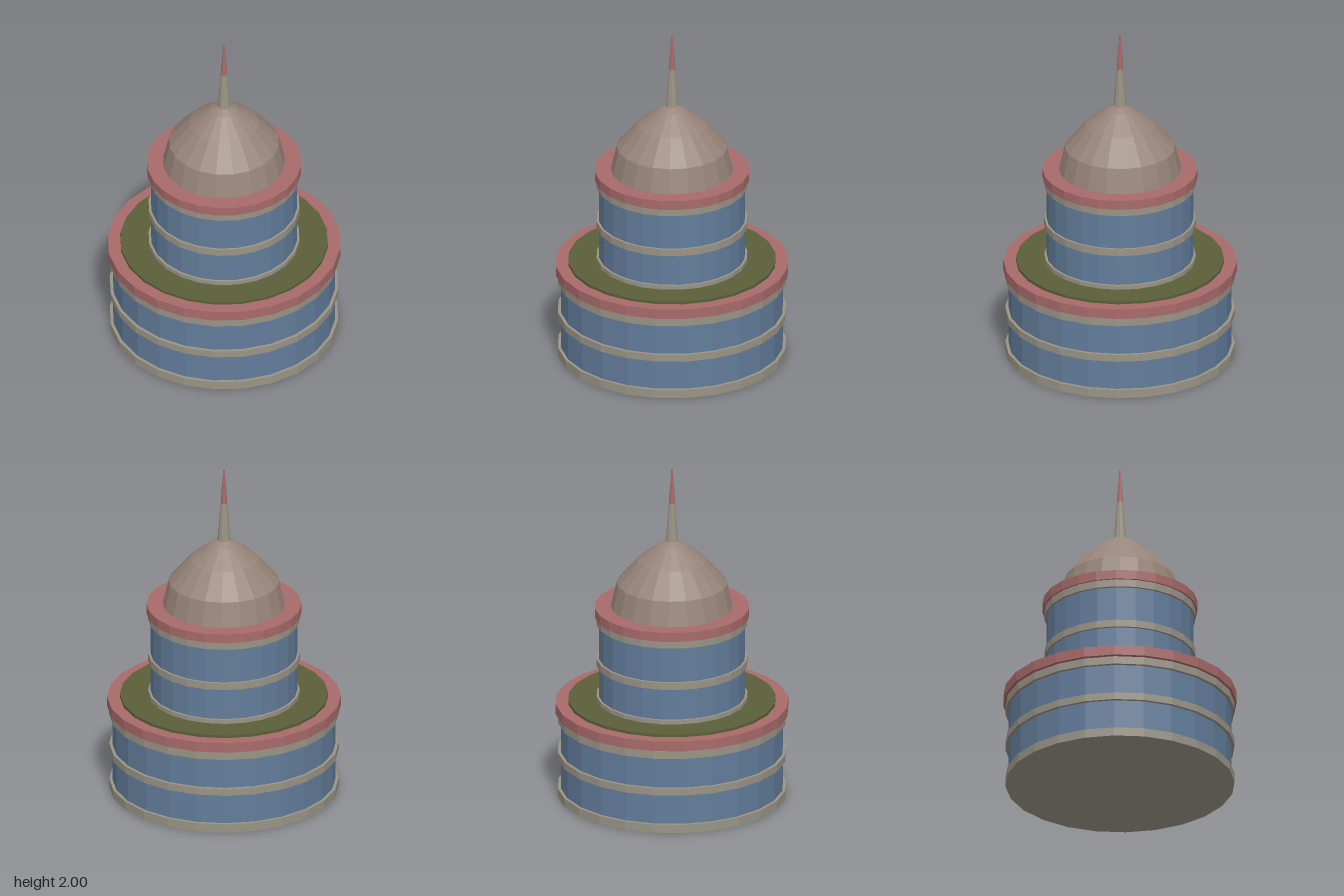
import * as THREE from 'three';

const flat = (name, color) => {
  const m = new THREE.MeshStandardMaterial({ color, flatShading: true });
  m.name = name;
  return m;
};

export function createModel() {
  const glass = flat('blue glass', 0x637d9b);
  const stone = flat('grey stone', 0x9a9486);
  const red = flat('dusty red', 0xa86a6a);
  const green = flat('roof green', 0x5a5f38);
  const brown = flat('dome brown', 0x98857a);

  const model = new THREE.Group();
  model.name = 'domedTower';

  // Faceted drum between two heights, optionally tapered
  function drum(parent, name, material, y0, y1, rBottom, rTop = rBottom, sides = 24) {
    const mesh = new THREE.Mesh(new THREE.CylinderGeometry(rTop, rBottom, y1 - y0, sides), material);
    mesh.position.y = (y0 + y1) / 2;
    mesh.name = name;
    parent.add(mesh);
  }

  // One tier: glazed wall, stone bands and a projecting cornice
  function tier(name, wallR, bandR, corniceR, bands, corniceY) {
    const group = new THREE.Group();
    group.name = name;
    drum(group, 'glassWall', glass, bands[0][0] + 0.005, corniceY[0], wallR);
    bands.forEach(([y0, y1]) => drum(group, 'stoneBand', stone, y0, y1, bandR));
    drum(group, 'cornice', red, corniceY[0], corniceY[1], corniceR);
    model.add(group);
  }

  tier('lowerTier', 0.645, 0.663, 0.675, [[0, 0.052], [0.232, 0.275], [0.458, 0.505]], [0.51, 0.57]);
  drum(model, 'roofGarden', green, 0.56, 0.587, 0.602);
  tier('upperTier', 0.424, 0.438, 0.448, [[0.575, 0.612], [0.8, 0.843], [1.055, 1.1]], [1.1, 1.155]);

  // Dome turned from a short profile
  const profile = [[0.355, 1.15], [0.32, 1.3], [0.2, 1.44], [0.08, 1.535], [0.035, 1.56], [0, 1.565]]
    .map(([r, y]) => new THREE.Vector2(r, y));
  const dome = new THREE.Mesh(new THREE.LatheGeometry(profile, 20), brown);
  dome.material.side = THREE.DoubleSide;
  dome.name = 'dome';
  model.add(dome);

  // Two-coloured spire
  drum(model, 'spireBase', stone, 1.555, 1.79, 0.038, 0.019, 10);
  drum(model, 'spireTip', red, 1.79, 2, 0.019, 0.004, 10);

  return model;
}
